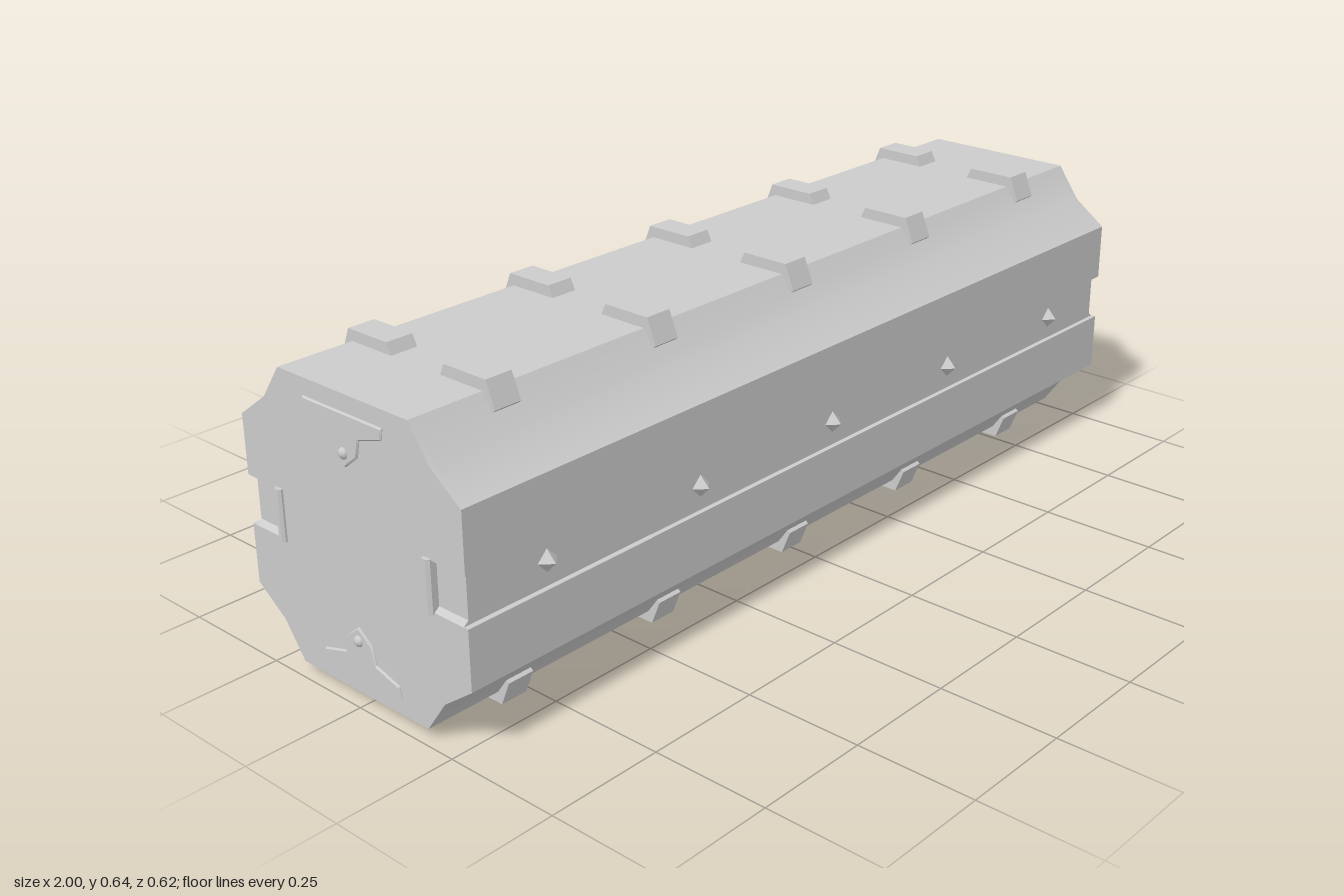
import * as THREE from 'three';
import { toCreasedNormals } from 'three/addons/utils/BufferGeometryUtils.js';

const MID = 0.3215;          // height of the long axis
const END = 0.987;           // end faces at x = +-END
const DEPTH = 0.011;         // depth of the side channels
const SIDES = [1, -1];
const material = new THREE.MeshStandardMaterial({ color: 0xcccccc });

const shapeOf = (points) => new THREE.Shape(points.map(([a, b]) => new THREE.Vector2(a, b)));

// Extrudes a [z, y] profile along x, centred on x = 0
function alongX(points, length, bevel = 0) {
  const g = new THREE.ExtrudeGeometry(shapeOf(points), {
    depth: length, bevelEnabled: bevel > 0, bevelSize: bevel,
    bevelThickness: bevel, bevelOffset: -bevel, bevelSegments: 1,
  });
  g.translate(0, 0, -length / 2);
  g.rotateY(-Math.PI / 2);
  return toCreasedNormals(g, 0.5);
}

// Eight-cornered section with a notch of half height 0.05 in both sides
function bodyProfile(notchZ) {
  const quarter = [[notchZ, 0.05], [0.298, 0.05], [0.298, 0.173], [0.225, 0.226], [0.175, 0.2965]];
  const mirror = (sz, sy) => quarter.map(([z, y]) => [z * sz, y * sy]);
  return [
    ...mirror(1, 1), ...mirror(-1, 1).reverse(),
    ...mirror(-1, -1), ...mirror(1, -1).reverse(),
  ];
}

export function createModel() {
  const model = new THREE.Group();
  const add = (name, geometry, x = 0, y = 0, z = 0) => {
    const mesh = new THREE.Mesh(geometry, material);
    mesh.name = name;
    mesh.position.set(x, MID + y, z);
    model.add(mesh);
    return mesh;
  };

  // Body with long channels, and end slabs where the channels wrap round
  add('body', alongX(bodyProfile(0.298 - DEPTH), 2 * (END - DEPTH)));
  const slab = alongX(bodyProfile(0.208), DEPTH);
  for (const s of SIDES) add('endSlab', slab, s * (END - DEPTH / 2));

  // Angled brackets over the chamfer edges
  const bracket = [[0.065, 0.295], [0.077, 0.3195], [0.184, 0.3195], [0.205, 0.268],
    [0.198, 0.262], [0.172, 0.29]];
  for (const sz of SIDES) for (const sy of SIDES) {
    const g = alongX(bracket.map(([z, y]) => [z * sz, y * sy]), 0.06);
    for (let i = -2; i <= 2; i++) add('bracket', g, i * 0.396);
  }

  // Pointed four-sided studs in the long channels
  const stud = new THREE.ConeGeometry(0.023, 0.022, 4).toNonIndexed();
  stud.computeVertexNormals();
  for (const s of SIDES) for (let i = -2; i <= 2; i++) {
    add('channelStud', stud, i * 0.396, 0, s * 0.298).rotation.x = s * Math.PI / 2;
  }

  // Sloped walls and closing bar of each end channel
  const barProfile = [[0.194, 0], [0.194, 0.015], [0.199, 0.02], [0.207, 0.02], [0.213, 0.014], [0.213, 0]];
  for (const sx of SIDES) for (const sz of SIDES) {
    for (const sy of SIDES) {
      const wedge = new THREE.ExtrudeGeometry(shapeOf([
        [sx * END, sy * 0.05], [sx * (END - DEPTH), sy * 0.05], [sx * (END - DEPTH), sy * 0.041],
      ]), { depth: 0.079, bevelEnabled: false });
      add('endChannelWall', wedge, 0, 0, sz > 0 ? 0.208 : -0.287);
    }
    const bar = new THREE.ExtrudeGeometry(
      shapeOf(barProfile.map(([z, x]) => [sx * (END - DEPTH + x), -sz * z])),
      { depth: 0.106, bevelEnabled: false });
    bar.translate(0, 0, -0.053);
    bar.rotateX(-Math.PI / 2);
    add('endBar', bar);
  }

  // Low shield plate and round stud, above and below on each end
  const half = [[0.108, 0.262], [0.105, 0.238], [0.043, 0.22], [0.035, 0.185], [0, 0.157]];
  const plate = [...half, ...half.slice(0, -1).reverse().map(([z, y]) => [-z, y])];
  const knob = new THREE.SphereGeometry(0.012, 8, 6);
  for (const sy of SIDES) {
    const g = alongX(plate.map(([z, y]) => [z, y * sy]), 0.002, 0.003);
    for (const sx of SIDES) {
      add('endPlate', g, sx * END, 0, 0);
      add('endStud', knob, sx * 0.988, sy * 0.185, 0);
    }
  }
  return model;
}
